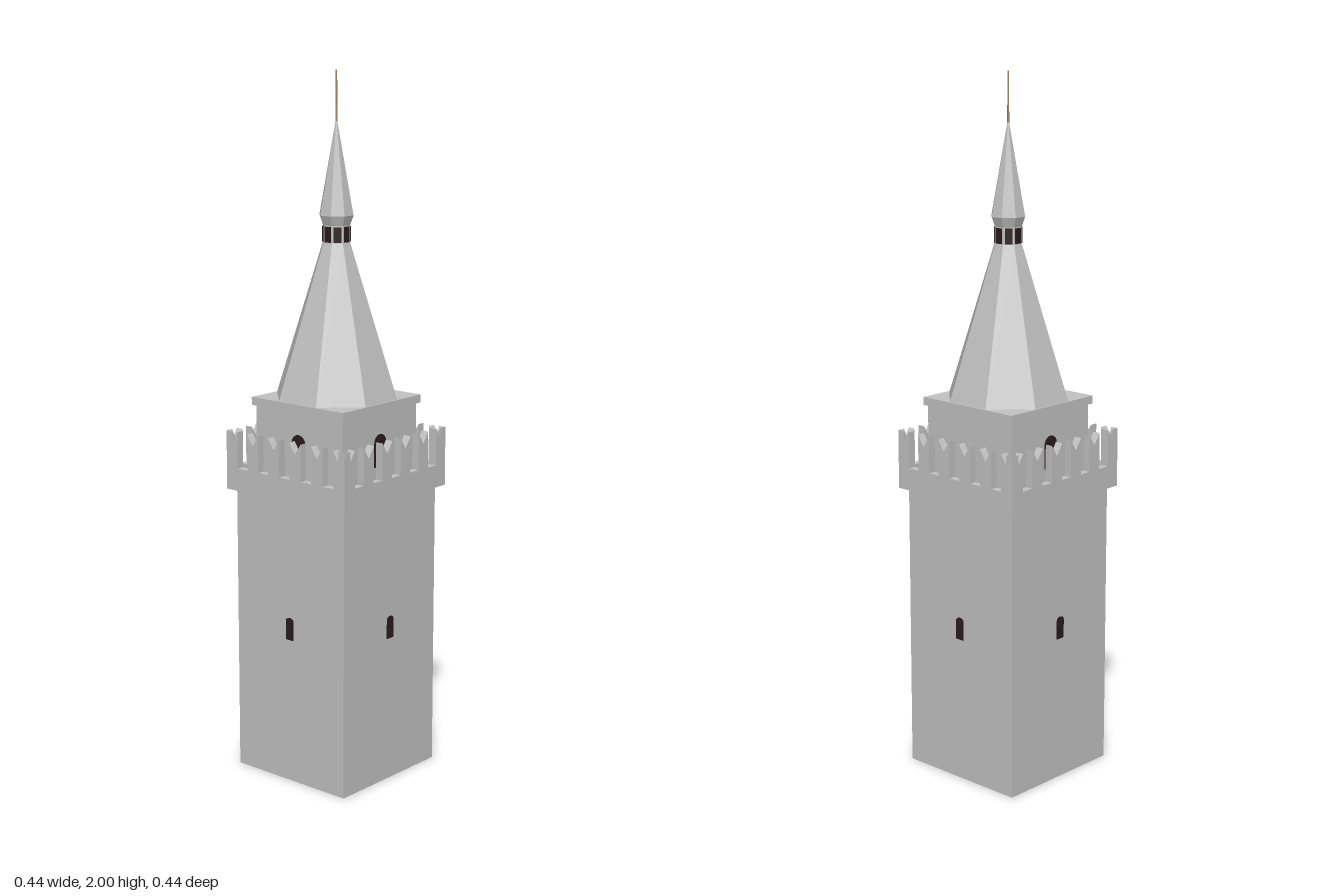
import * as THREE from 'three';

const stone = new THREE.MeshStandardMaterial({ color: 0xc2c2c2, side: THREE.DoubleSide });
stone.name = 'stone';
const dark = new THREE.MeshStandardMaterial({ color: 0x2b1c1e, side: THREE.DoubleSide });
dark.name = 'window dark';
const metal = new THREE.MeshStandardMaterial({ color: 0x9c8c68 });
metal.name = 'finial metal';

function add(parent, name, geometry, material, y = 0) {
  const mesh = new THREE.Mesh(geometry, material);
  mesh.name = name;
  mesh.position.y = y;
  parent.add(mesh);
  return mesh;
}

// Octagonal frustum with flat faces towards the four sides, sized by apothem
function octagon(top, bottom, y0, y1, open = false) {
  const k = 1 / Math.cos(Math.PI / 8);
  const g = new THREE.CylinderGeometry(top * k, bottom * k, y1 - y0, 8, 1, open);
  g.rotateY(Math.PI / 8);
  g.translate(0, (y0 + y1) / 2, 0);
  const flat = g.toNonIndexed();
  flat.computeVertexNormals();
  return flat;
}

function block(half, y0, y1) {
  return new THREE.BoxGeometry(half * 2, y1 - y0, half * 2).translate(0, (y0 + y1) / 2, 0);
}

// Thin round-headed window plate facing +z
function archWindow(half, y0, y1, rise, z) {
  const s = new THREE.Shape();
  s.moveTo(-half, y0);
  s.lineTo(half, y0);
  s.lineTo(half, y1 - rise);
  for (let i = 1; i <= 8; i++) {
    const a = (i / 8) * Math.PI;
    s.lineTo(half * Math.cos(a), y1 - rise + rise * Math.sin(a));
  }
  s.closePath();
  return new THREE.ExtrudeGeometry(s, { depth: 0.004, bevelEnabled: false }).translate(0, 0, z - 0.002);
}

// Parapet wall with six swallowtail merlons
function parapetWall() {
  const R = 0.22, w = 0.042, count = 6, sill = 0.895, top = 1.0, notch = 0.968;
  const pitch = (2 * R - w) / (count - 1);
  const s = new THREE.Shape();
  s.moveTo(-R, 0.83);
  s.lineTo(R, 0.83);
  for (let i = count - 1; i >= 0; i--) {
    const x = -R + i * pitch;
    if (i < count - 1) s.lineTo(x + w, sill);
    s.lineTo(x + w, top);
    s.lineTo(x + w / 2, notch);
    s.lineTo(x, top);
    if (i > 0) s.lineTo(x, sill);
  }
  s.closePath();
  return new THREE.ExtrudeGeometry(s, { depth: 0.023, bevelEnabled: false }).translate(0, 0, R - 0.023);
}

export function createModel() {
  const tower = new THREE.Group();
  tower.name = 'tower';

  // Hollow shaft, open at the bottom
  const shaft = new THREE.CylinderGeometry(0.2 * Math.SQRT2, 0.2 * Math.SQRT2, 0.83, 4, 1, true)
    .rotateY(Math.PI / 4).toNonIndexed();
  shaft.computeVertexNormals();
  add(tower, 'shaft', shaft, stone, 0.415);

  // Walkway, belfry and eaves slab
  add(tower, 'walkway', block(0.219, 0.83, 0.85), stone);
  add(tower, 'belfry', block(0.16, 0.85, 1.072), stone);
  add(tower, 'eavesSlab', block(0.169, 1.072, 1.095), stone);

  // Four sides: parapet and windows; the +x belfry wall is blind
  for (let i = 0; i < 4; i++) {
    const side = new THREE.Group();
    side.name = ['frontSide', 'leftSide', 'backSide', 'rightSide'][i];
    side.rotation.y = (i * Math.PI) / 2;
    add(side, 'parapet', parapetWall(), stone);
    add(side, 'shaftWindow', archWindow(0.014, 0.422, 0.487, 0.01, 0.2), dark);
    if (i !== 1) add(side, 'belfryWindow', archWindow(0.025, 0.915, 1.008, 0.025, 0.16), dark);
    tower.add(side);
  }

  // Octagonal spire, lantern and cap
  add(tower, 'spire', octagon(0.037, 0.165, 1.095, 1.53), stone);
  add(tower, 'lantern', octagon(0.036, 0.036, 1.53, 1.585), stone);
  for (let i = 0; i < 8; i++) {
    const panel = add(tower, 'lanternWindow', new THREE.BoxGeometry(0.021, 0.043, 0.004).translate(0, 0, 0.037), dark, 1.553);
    panel.rotation.y = (i * Math.PI) / 4;
  }
  add(tower, 'capEaves', octagon(0.046, 0.037, 1.578, 1.605), stone);
  add(tower, 'cap', octagon(0.001, 0.046, 1.605, 1.87), stone);

  // Finial pole
  add(tower, 'finial', new THREE.CylinderGeometry(0.002, 0.003, 0.14, 8), metal, 1.93);

  return tower;
}
